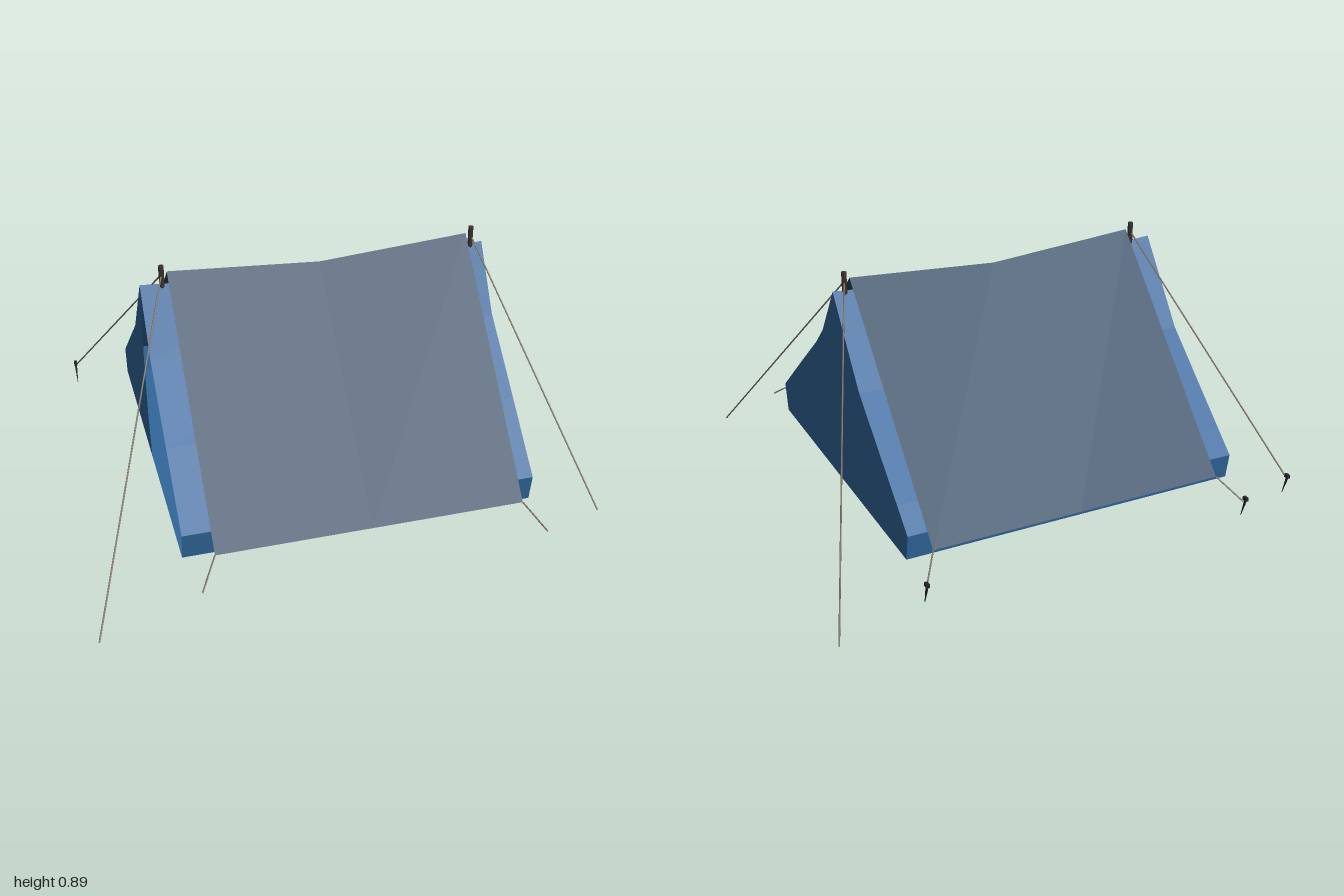
import * as THREE from 'three';

const V = (x, y, z) => new THREE.Vector3(x, y, z);

// Flat-faceted sheet from rows of points
function sheet(rows) {
  const pos = [];
  const push = (...pts) => pts.forEach((p) => pos.push(p.x, p.y, p.z));
  for (let i = 0; i < rows.length - 1; i++) {
    for (let j = 0; j < rows[i].length - 1; j++) {
      const a = rows[i][j], b = rows[i + 1][j], c = rows[i + 1][j + 1], d = rows[i][j + 1];
      push(a, b, c, a, c, d);
    }
  }
  const g = new THREE.BufferGeometry();
  g.setAttribute('position', new THREE.Float32BufferAttribute(pos, 3));
  g.computeVertexNormals();
  return g;
}

// Cylinder between two points
function rod(a, b, ra, rb, sides) {
  const dir = b.clone().sub(a);
  const g = new THREE.CylinderGeometry(rb, ra, dir.length(), sides);
  g.applyQuaternion(new THREE.Quaternion().setFromUnitVectors(V(0, 1, 0), dir.normalize()));
  const m = a.clone().add(b).multiplyScalar(0.5);
  return g.translate(m.x, m.y, m.z);
}

// Upright panel drawn in (z, y) and placed at x
function endPanel(points, x) {
  const g = new THREE.ShapeGeometry(new THREE.Shape(points.map(([z, y]) => new THREE.Vector2(z, y))));
  return g.rotateY(-Math.PI / 2).translate(x, 0, 0);
}

export function createModel() {
  const group = new THREE.Group();
  const mat = (name, color, side = THREE.FrontSide) => {
    const m = new THREE.MeshStandardMaterial({ color, side });
    m.name = name;
    return m;
  };
  const flyBlue = mat('fly blue', 0x294763, THREE.DoubleSide);
  const tentBlue = mat('tent blue', 0x31679b, THREE.DoubleSide);
  const poleBrown = mat('pole brown', 0x3a322b);
  const cordTan = mat('cord tan', 0x84776a);
  const pegDark = mat('peg dark', 0x22262b);
  const add = (name, geometry, material) => {
    const m = new THREE.Mesh(geometry, material);
    m.name = name;
    group.add(m);
  };

  // Outer fly sheet, its ridge sagging in the middle
  const flyX = 0.565;
  add('flySheet', sheet([-flyX, 0, flyX].map((x) => [
    V(x, 0.14, 0.715), V(x, x ? 0.87 : 0.83, 0), V(x, 0.14, -0.7),
  ])), flyBlue);

  // Inner tent: floor, tub walls and slack roof as one closed section
  const left = 0.63, right = -0.665, floorY = 0.075;
  const profile = [
    [0.62, floorY], [0.64, 0.185], [0.4, 0.39], [0.15, 0.6], [0, 0.828],
    [-0.225, 0.53], [-0.55, 0.25], [-0.637, 0.175], [-0.62, floorY],
  ];
  const section = (x, sag) => profile.map(([z, y]) => V(x, y > 0.2 ? y - sag * (y - 0.2) : y, z));
  add('innerTent', sheet([section(right, 0), section(-0.02, 0.07), section(left, 0)]), tentBlue);
  add('floor', sheet([right, left].map((x) => [V(x, floorY, -0.62), V(x, floorY, 0.62)])), tentBlue);

  // Closed end, and the other end with one half of the door open
  add('closedEnd', endPanel(profile, left), tentBlue);
  add('doorPanel', endPanel([...profile.slice(4), [0, floorY], [-0.03, 0.25], [-0.035, 0.5]], right), tentBlue);

  // Poles
  const poleX = 0.585;
  for (const s of [-1, 1]) {
    add('pole', rod(V(s * poleX, 0.058, 0), V(s * poleX, 0.895, 0), 0.01, 0.01, 8), poleBrown);
  }

  // Guy lines from the pole tops
  const anchors = [[-1, 0.05, 0.94], [0.865, 0.045, 0.718], [-0.868, 0.07, -0.73], [0.995, 0.05, -0.945]];
  for (const [x, y, z] of anchors) {
    add('guyLine', rod(V(Math.sign(x) * poleX, 0.86, 0), V(x, y, z), 0.003, 0.003, 5), cordTan);
  }

  // Short cords at the fly corners
  for (const sx of [-1, 1]) {
    for (const [z0, z1] of [[0.715, 0.808], [-0.7, -0.79]]) {
      add('cornerCord', rod(V(sx * flyX, 0.14, z0), V(sx * 0.63, 0.065, z1), 0.003, 0.003, 5), cordTan);
    }
  }

  // Tapered pegs with a small head
  for (const [x, z] of [[-0.868, -0.725], [-0.632, -0.795], [0.632, -0.795]]) {
    const tip = V(x, 0.001, z + 0.018), top = V(x, 0.085, z - 0.008);
    add('peg', rod(tip, top, 0.001, 0.006, 6), pegDark);
    add('pegHead', new THREE.BoxGeometry(0.012, 0.014, 0.02).translate(x, 0.082, z - 0.004), pegDark);
  }
  return group;
}
